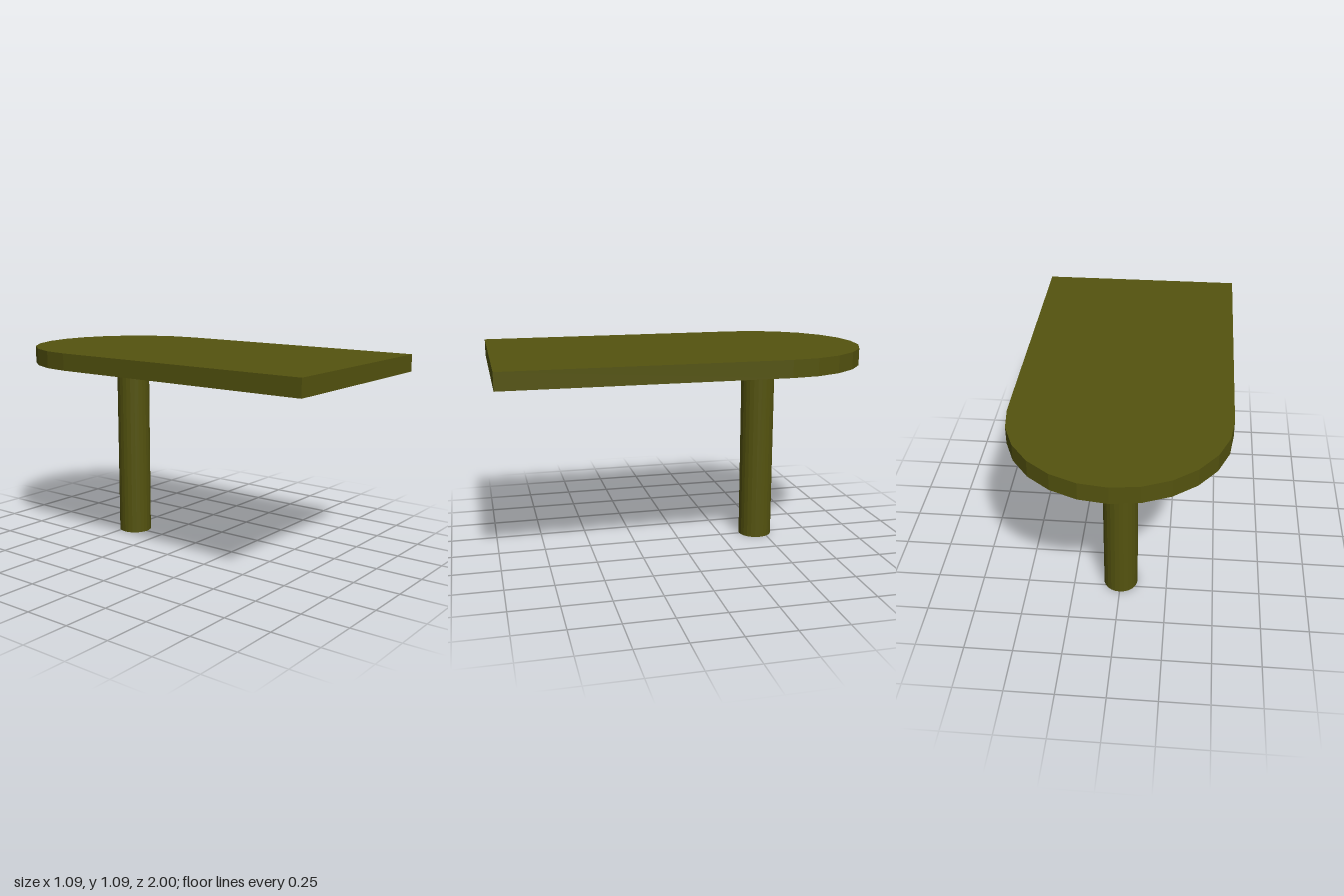
import * as THREE from 'three';

export function createModel() {
  const group = new THREE.Group();
  group.name = 'table';
  const material = new THREE.MeshStandardMaterial({ color: 0x54530f, flatShading: true });

  const unit = 1 / 11;
  const halfWidth = 6 * unit;
  const legZ = -5 * unit; // also the centre of the rounded end

  // Tabletop: square at the front, half round at the back
  const outline = new THREE.Shape();
  outline.moveTo(-halfWidth, -1);
  outline.lineTo(halfWidth, -1);
  outline.lineTo(halfWidth, -legZ);
  outline.absarc(0, -legZ, halfWidth, 0, Math.PI, false);
  outline.closePath();
  const topGeometry = new THREE.ExtrudeGeometry(outline, {
    depth: unit, bevelEnabled: false, curveSegments: 6, // arcs get twice this many sides
  });
  topGeometry.rotateX(-Math.PI / 2);
  const top = new THREE.Mesh(topGeometry, material);
  top.name = 'tabletop';
  top.position.y = 1;
  group.add(top);

  // Single round leg under the centre of the rounded end
  const leg = new THREE.Mesh(new THREE.CylinderGeometry(unit, unit, 1, 24), material);
  leg.name = 'leg';
  leg.position.set(0, 0.5, legZ);
  group.add(leg);

  return group;
}
